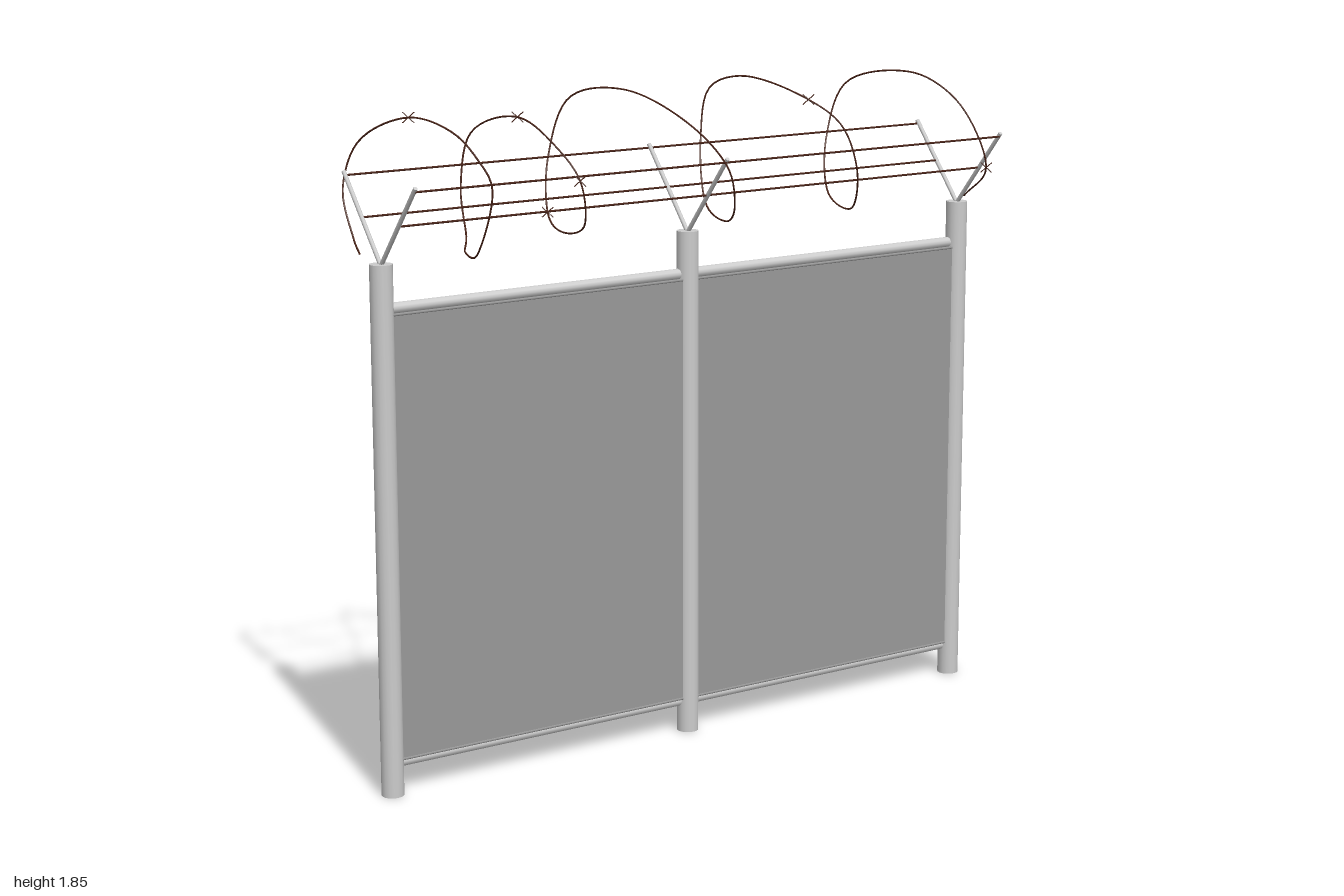
import * as THREE from 'three';

const Z = -0.01; // centre plane of the posts
const POST_X = [-0.967, 0, 0.967];
const steel = new THREE.MeshStandardMaterial({ color: 0xcccccc });
const sheet = new THREE.MeshStandardMaterial({ color: 0x999999 });
const rust = new THREE.MeshStandardMaterial({ color: 0x4a2418 });

// centre line of the irregular wire coil: x, y, z
const COIL = [
  -1, 1.47, -0.06, -0.97, 1.5, -0.15, -0.955, 1.62, -0.23, -0.92, 1.74, -0.21, -0.86, 1.82, -0.04,
  -0.815, 1.79, 0.12, -0.785, 1.73, 0.18, -0.76, 1.66, 0.21, -0.755, 1.47, 0.12, -0.725, 1.46, 0.01,
  -0.645, 1.48, -0.12, -0.607, 1.6, -0.21, -0.575, 1.74, -0.21, -0.535, 1.8, -0.03, -0.505, 1.73, 0.12,
  -0.48, 1.65, 0.19, -0.447, 1.53, 0.16, -0.4, 1.48, -0.03, -0.35, 1.51, -0.18, -0.3, 1.65, -0.255,
  -0.25, 1.81, -0.23, -0.19, 1.85, -0.04, -0.12, 1.765, 0.19, -0.05, 1.66, 0.25, 0.01, 1.55, 0.2,
  0.09, 1.475, 0.05, 0.145, 1.5, -0.13, 0.205, 1.67, -0.24, 0.227, 1.81, -0.23, 0.27, 1.85, -0.14,
  0.34, 1.8, 0.09, 0.404, 1.73, 0.16, 0.447, 1.61, 0.175, 0.505, 1.48, 0.08, 0.55, 1.5, -0.09,
  0.635, 1.65, -0.21, 0.687, 1.8, -0.19, 0.762, 1.845, 0.02, 0.81, 1.79, 0.14, 0.848, 1.7, 0.2,
  0.89, 1.58, 0.21, 0.944, 1.475, 0.05,
];

// round bar between two points
function bar(name, a, b, radius, sides, material) {
  const from = new THREE.Vector3(...a), to = new THREE.Vector3(...b);
  const dir = to.clone().sub(from);
  const mesh = new THREE.Mesh(new THREE.CylinderGeometry(radius, radius, dir.length(), sides), material);
  mesh.position.copy(from).add(to).multiplyScalar(0.5);
  mesh.quaternion.setFromUnitVectors(new THREE.Vector3(0, 1, 0), dir.normalize());
  mesh.name = name;
  return mesh;
}

export function createModel() {
  const model = new THREE.Group();
  model.name = 'securityFence';

  // posts, each with a V of two arms on top
  for (const x of POST_X) {
    model.add(bar('post', [x, 0, Z], [x, 1.45, Z], 0.031, 16, steel));
    for (const s of [-1, 1])
      model.add(bar('wireArm', [x, 1.445, Z], [x, 1.67, Z + s * 0.19], 0.006, 8, steel));
  }

  // rails and panel of each bay
  for (const s of [-1, 1]) {
    const inner = s * 0.02, outer = s * 0.95;
    for (const y of [1.33, 0.09])
      model.add(bar('rail', [inner, y, Z - 0.003], [outer, y, Z - 0.003], 0.015, 12, steel));
    const panel = new THREE.Mesh(new THREE.BoxGeometry(0.926, 1.215, 0.004), sheet);
    panel.position.set(s * 0.483, 0.7075, 0.003);
    panel.name = 'panel';
    model.add(panel);
    for (const y of [1.315, 0.1])
      model.add(bar('panelEdge', [inner, y, 0.003], [outer, y, 0.003], 0.004, 6, sheet));
  }

  // straight wires strung along the arms
  for (const s of [-1, 1])
    for (const [y, d] of [[1.66, 0.187], [1.56, 0.096]])
      model.add(bar('straightWire', [-0.967, y, Z + s * d], [0.967, y, Z + s * d], 0.003, 6, rust));

  // coiled wire
  const points = [];
  for (let i = 0; i < COIL.length; i += 3) points.push(new THREE.Vector3(COIL[i], COIL[i + 1], COIL[i + 2]));
  const path = new THREE.CatmullRomCurve3(points, false, 'centripetal');
  const coil = new THREE.Mesh(new THREE.TubeGeometry(path, 300, 0.0025, 6), rust);
  coil.name = 'coiledWire';
  model.add(coil);

  // crossed barbs on the coil
  for (const i of [4, 13, 15, 18, 30, 40]) {
    const p = points[i];
    for (const s of [-1, 1])
      model.add(bar('barb', [p.x - 0.012, p.y - s * 0.014, p.z - 0.01], [p.x + 0.012, p.y + s * 0.014, p.z + 0.01], 0.0015, 5, rust));
  }
  return model;
}
